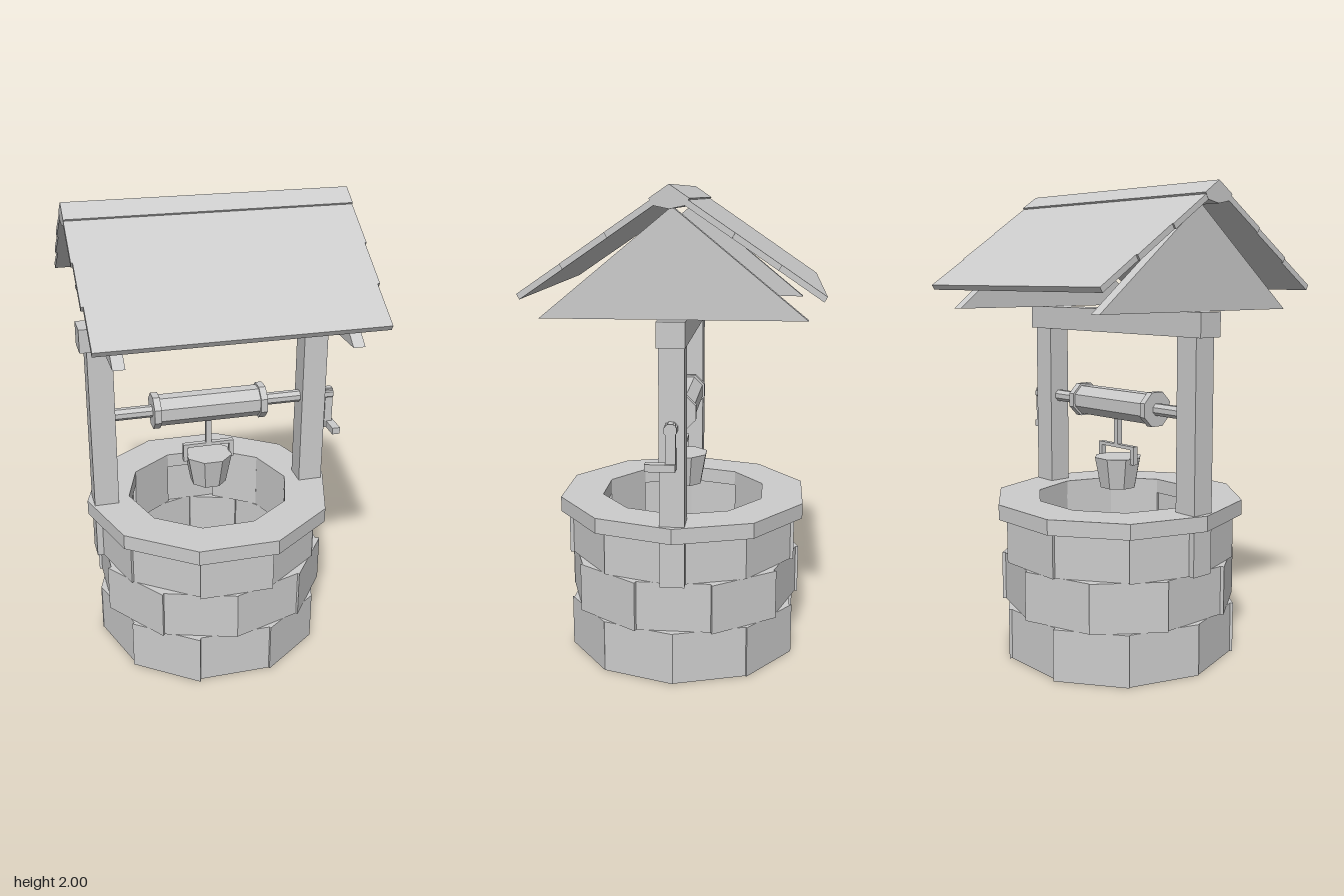
import * as THREE from 'three';

const material = new THREE.MeshStandardMaterial({ color: 0xcccccc, flatShading: true });

export function createModel() {
  const model = new THREE.Group();

  const add = (name, geometry, x = 0, y = 0, z = 0) => {
    const mesh = new THREE.Mesh(geometry, material);
    mesh.name = name;
    mesh.position.set(x, y, z);
    model.add(mesh);
    return mesh;
  };

  // Box given by its limits on each axis
  const box = (name, x0, x1, y0, y1, z0, z1) =>
    add(name, new THREE.BoxGeometry(x1 - x0, y1 - y0, z1 - z0), (x0 + x1) / 2, (y0 + y1) / 2, (z0 + z1) / 2);

  // Plan outline (x, z) raised from y0 to y1
  const slab = (name, shape, y0, y1) => {
    const g = new THREE.ExtrudeGeometry(shape, { depth: y1 - y0, bevelEnabled: false });
    return add(name, g.rotateX(-Math.PI / 2), 0, y0, 0);
  };

  // Side outline (z, y) stretched along x from x0 to x1
  const profile = (name, points, x0, x1) => {
    const shape = new THREE.Shape(points.map(([z, y]) => new THREE.Vector2(-z, y)));
    const g = new THREE.ExtrudeGeometry(shape, { depth: x1 - x0, bevelEnabled: false });
    return add(name, g.rotateY(Math.PI / 2), x0, 0, 0);
  };

  // Eight-sided bar lying along x
  const bar = (name, apothem, x0, x1) => {
    const r = apothem / Math.cos(Math.PI / 8);
    const g = new THREE.CylinderGeometry(r, r, x1 - x0, 8).rotateY(Math.PI / 8).rotateZ(Math.PI / 2);
    return add(name, g, (x0 + x1) / 2, 1.087, 0);
  };

  const SIDES = 10;
  const STEP = (Math.PI * 2) / SIDES;
  const polar = (r, a) => new THREE.Vector2(r * Math.cos(a), r * Math.sin(a));

  // Three staggered courses of slightly uneven stones
  const courses = [
    { y0: 0, y1: 0.22, r: 0.506, turn: 0 },
    { y0: 0.22, y1: 0.43, r: 0.508, turn: 0.5 },
    { y0: 0.43, y1: 0.62, r: 0.503, turn: 0 },
  ];
  courses.forEach(({ y0, y1, r, turn }, row) => {
    for (let i = 0; i < SIDES; i++) {
      const a = (i + turn) * STEP;
      const b = a + STEP;
      const shift = 0.009 * Math.sin(i * 2.4 + row * 1.7) - 0.004 * Math.cos(a + STEP / 2);
      const corners = [polar(0.37 + shift, a), polar(r + shift, a), polar(r + shift, b), polar(0.37 + shift, b)];
      slab('wallStone', new THREE.Shape(corners), y0, y1);
    }
  });

  // Rim with its opening
  const ring = (r) => Array.from({ length: SIDES }, (_, i) => polar(r, i * STEP));
  const rim = new THREE.Shape(ring(0.547));
  rim.holes.push(new THREE.Path(ring(0.362).reverse()));
  slab('rim', rim, 0.62, 0.685);

  // Posts, beam and gables
  for (const s of [-1, 1]) {
    const post = box('post', -0.053, 0.053, 0.43, 1.4, -0.05, 0.05);
    post.position.x = s * 0.468;
    const gable = profile('gable', [[0.515, 1.5], [-0.515, 1.5], [0, 1.92]], -0.024, 0.024);
    gable.position.x += s * 0.464;
  }
  box('crossBeam', -0.55, 0.55, 1.4, 1.5, -0.056, 0.056);

  // Roof planks on both slopes, each row a little wider towards the ridge
  const rows = [[0.03, 0.24, 0.583], [0.24, 0.41, 0.576], [0.41, 0.578, 0.566]];
  const slopeY = (z) => 1.6 + (0.578 - z) * 0.676;
  for (const s of [-1, 1]) {
    for (const [z0, z1, w] of rows) {
      const points = [
        [z0, slopeY(z0)], [z1, slopeY(z1)],
        [z1 - 0.012, slopeY(z1) - 0.02], [z0 - 0.012, slopeY(z0) - 0.02],
      ].map(([z, y]) => [s * z, y]);
      profile('roofPlank', points, -w, w);
    }
  }
  profile('ridgeCap', [[0, 2], [0.074, 1.95], [0.058, 1.924], [0, 1.912], [-0.058, 1.924], [-0.074, 1.95]], -0.584, 0.584);

  // Windlass
  bar('axle', 0.025, -0.46, 0.57);
  bar('drum', 0.063, -0.22, 0.22);
  bar('drumFlange', 0.072, -0.25, -0.22);
  bar('drumFlange', 0.072, 0.22, 0.25);

  // Crank
  box('crankArm', 0.535, 0.57, 0.925, 1.11, -0.02, 0.02);
  box('crankHandle', 0.545, 0.58, 0.925, 0.955, -0.02, 0.1);

  // Rope, bucket and its bail
  box('rope', -0.012, 0.012, 0.9, 1.04, -0.012, 0.012);
  const bucket = new THREE.CylinderGeometry(0.106, 0.08, 0.135, 8).rotateY(Math.PI / 8);
  add('bucket', bucket, 0, 0.787, 0);
  box('bailTop', -0.114, 0.114, 0.895, 0.91, -0.012, 0.012);
  box('bailSide', -0.114, -0.094, 0.83, 0.895, -0.012, 0.012);
  box('bailSide', 0.094, 0.114, 0.83, 0.895, -0.012, 0.012);

  return model;
}
